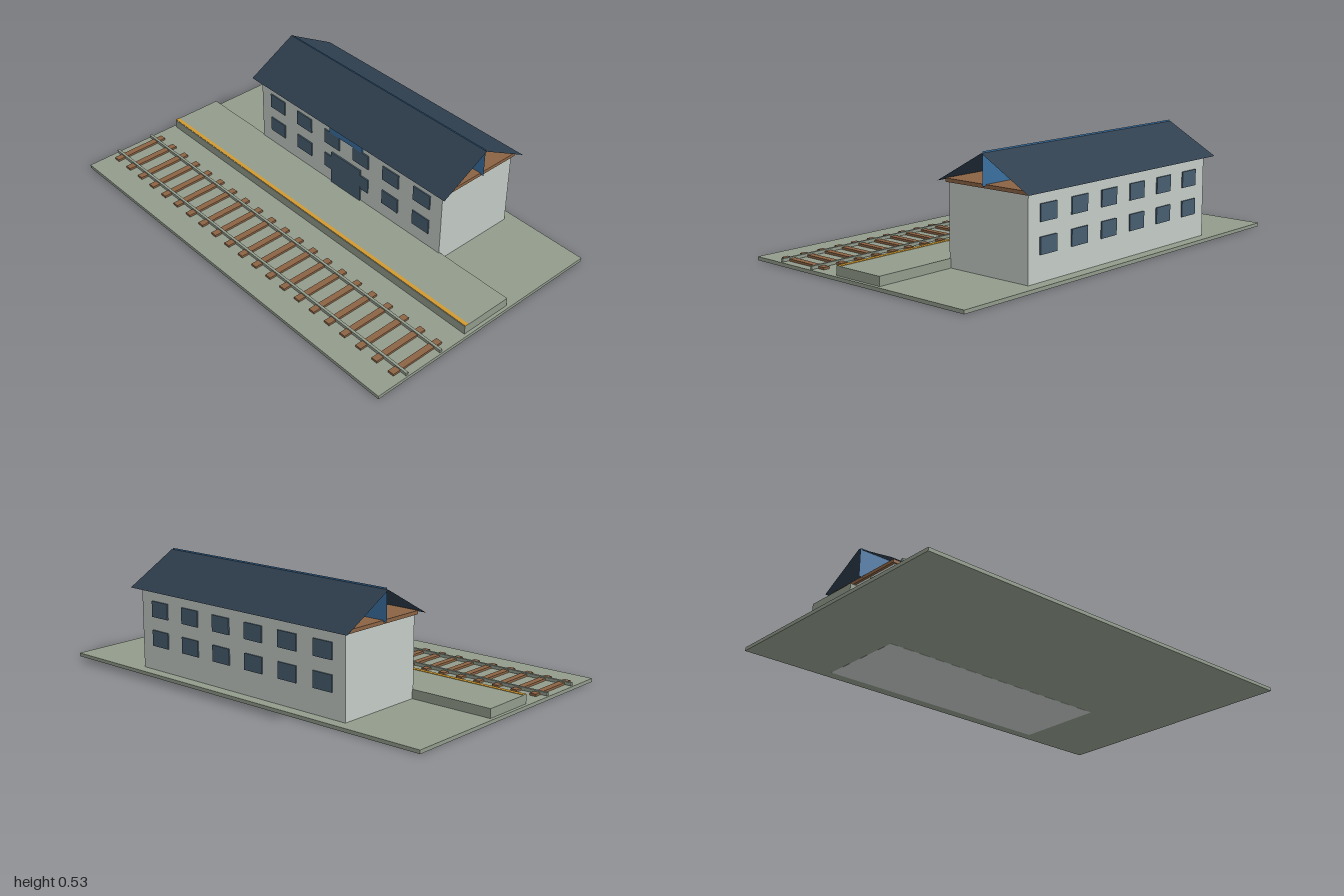
import * as THREE from 'three';

const mat = (name, color, side = THREE.FrontSide) => {
  const m = new THREE.MeshStandardMaterial({ color, side });
  m.name = name;
  return m;
};

export function createModel() {
  const concrete = mat('grey green concrete', 0x929b8c);
  const wall = mat('pale grey wall', 0xc4cbc6);
  const wood = mat('brown wood', 0x8b6344);
  const glass = mat('slate blue glass', 0x485e70);
  const roofing = mat('dark navy roofing', 0x2e3e4d, THREE.DoubleSide);
  const blue = mat('blue panel', 0x3a70a0, THREE.DoubleSide);
  const yellow = mat('yellow line', 0xd09a30);

  const model = new THREE.Group();
  model.name = 'railwayStation';

  // Box given by its minimum and maximum on each axis
  const box = (parent, name, material, [x0, x1], [y0, y1], [z0, z1]) => {
    const mesh = new THREE.Mesh(new THREE.BoxGeometry(x1 - x0, y1 - y0, z1 - z0), material);
    mesh.position.set((x0 + x1) / 2, (y0 + y1) / 2, (z0 + z1) / 2);
    mesh.name = name;
    parent.add(mesh);
    return mesh;
  };
  const group = (name) => {
    const g = new THREE.Group();
    g.name = name;
    model.add(g);
    return g;
  };

  // Ground and platform with its safety line
  box(model, 'groundSlab', concrete, [-1, 1], [0, 0.016], [-0.612, 0.612]);
  box(model, 'platform', concrete, [-0.985, 0.985], [0.016, 0.057], [-0.14, 0.115]);
  box(model, 'safetyLine', yellow, [-0.985, 0.985], [0.057, 0.059], [0.093, 0.112]);

  // Track: sleepers and two rails
  const track = group('track');
  for (let i = 0; i < 21; i++) {
    const x = (i - 10) * 0.0947;
    box(track, 'sleeper', wood, [x - 0.015, x + 0.015], [0.016, 0.026], [0.223, 0.495]);
  }
  for (const z of [0.262, 0.452]) {
    box(track, 'rail', concrete, [-0.995, 0.995], [0.018, 0.032], [z - 0.006, z + 0.006]);
  }

  // Station building and the wooden slab under the roof
  const building = group('building');
  box(building, 'walls', wall, [-0.595, 0.595], [-0.0005, 0.376], [-0.562, -0.134]);
  box(building, 'eavesSlab', wood, [-0.607, 0.607], [0.375, 0.391], [-0.571, -0.126]);

  // Two rows of six windows on the front and back
  for (const [z0, z1] of [[-0.134, -0.128], [-0.568, -0.562]]) {
    for (const y of [0.163, 0.295]) {
      for (let i = 0; i < 6; i++) {
        const x = (i - 2.5) * 0.191;
        box(building, 'window', glass, [x - 0.05, x + 0.05], [y - 0.036, y + 0.036], [z0, z1]);
      }
    }
  }
  box(building, 'door', glass, [-0.097, 0.097], [0.057, 0.226], [-0.134, -0.127]);
  box(building, 'signBoard', blue, [-0.107, 0.107], [0.331, 0.374], [-0.134, -0.1265]);

  // Open gabled roof: two thin slopes and an upright panel along the ridge
  const roof = group('roof');
  const ridgeY = 0.518, eaveY = 0.381, ridgeZ = -0.35, halfSpan = 0.246;
  const rise = ridgeY - eaveY;
  for (const side of [1, -1]) {
    const slope = new THREE.Mesh(new THREE.PlaneGeometry(1.264, Math.hypot(rise, halfSpan)), roofing);
    slope.rotation.x = -Math.PI / 2 + side * Math.atan2(rise, halfSpan);
    slope.position.set(0, (ridgeY + eaveY) / 2, ridgeZ + side * halfSpan / 2);
    slope.name = side > 0 ? 'frontRoofSlope' : 'backRoofSlope';
    roof.add(slope);
  }
  const panel = new THREE.Mesh(new THREE.PlaneGeometry(1.25, 0.14), blue);
  panel.position.set(0, 0.455, ridgeZ);
  panel.name = 'ridgePanel';
  roof.add(panel);

  return model;
}
